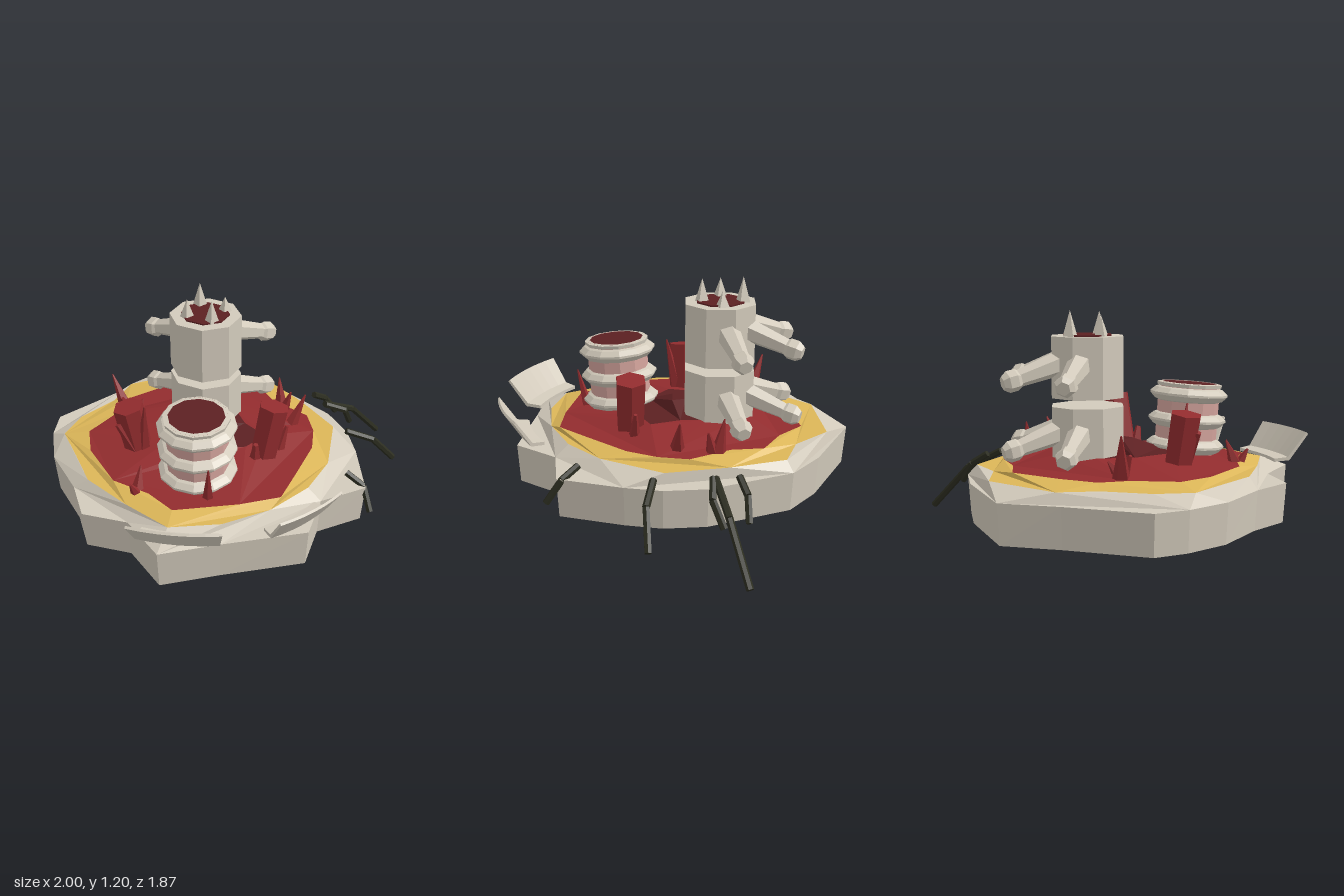
import * as THREE from 'three';

const mat = (name, color) => new THREE.MeshStandardMaterial({ name, color, flatShading: true, side: THREE.DoubleSide });
const V = (a) => new THREE.Vector3(...a);
const UP = new THREE.Vector3(0, 1, 0);

// Plan outlines of the island, as [x, z]
const RIM = [[-.49, -.945], [0, -.925], [.245, -.865], [.6, -.545], [.71, -.35], [.755, -.16], [.8, .19], [.56, .33],
  [.5, .6], [.06, .735], [-.245, .84], [-.43, .6], [-.68, .55], [-.77, .32], [-.94, .05], [-1, -.19], [-1, -.37], [-.69, -.7]];
const SAND = [[-.235, -.9], [0, -.8], [.22, -.82], [.43, -.59], [.625, -.32], [.595, .05], [.49, .29], [.3, .5], [.06, .64],
  [-.21, .69], [-.45, .52], [-.69, .32], [-.8, .1], [-.91, -.11], [-.85, -.3], [-.69, -.5], [-.62, -.7]];
const FLESH = [[-.2, -.765], [-.02, -.7], [.18, -.685], [.27, -.535], [.47, -.39], [.51, -.23], [.505, -.055], [.42, .21], [.35, .42],
  [.14, .5], [-.2, .58], [-.34, .45], [-.545, .35], [-.72, .08], [-.765, -.11], [-.64, -.32], [-.61, -.48], [-.45, -.61]];
const MOUND = [[-.36, -.16], [-.32, .07], [-.13, .11], [.14, .05], [.24, -.07], [.12, -.19], [.06, -.32], [-.1, -.5], [-.3, -.35]];
const CREST = [[-.15, -.13], [-.1, -.05], [0, -.09], [-.05, -.15]];

export function createModel() {
  const bone = mat('bone', 0xd2cabb), yellow = mat('sand yellow', 0xdcb658), red = mat('flesh red', 0x922c2e);
  const dark = mat('dark red', 0x5c2022), pink = mat('pink', 0xd3a39c), black = mat('black', 0x2c2d20);
  const model = new THREE.Group();
  const add = (name, geo, material, parent = model) => {
    const m = new THREE.Mesh(geo, material);
    m.name = name;
    parent.add(m);
    return m;
  };
  // Tapered bar between two points
  const bar = (name, a, b, r0, r1, sides, material, parent) => {
    const d = V(b).sub(V(a));
    const m = add(name, new THREE.CylinderGeometry(r1, r0, d.length(), sides), material, parent);
    m.position.copy(V(a)).addScaledVector(d, .5);
    m.quaternion.setFromUnitVectors(UP, d.normalize());
    return m;
  };
  // Sloping band between two outlines at different heights
  const band = (name, outer, yOuter, inner, yInner, material) => {
    const pts = (o) => o.map(([x, z]) => new THREE.Vector2(x, -z));
    const shape = new THREE.Shape(pts(outer));
    if (inner) shape.holes.push(new THREE.Path(pts(inner)));
    const geo = new THREE.ShapeGeometry(shape).rotateX(-Math.PI / 2);
    const p = geo.attributes.position;
    for (let i = 0; i < p.count; i++) p.setY(i, i < outer.length ? yOuter : yInner);
    geo.computeVertexNormals();
    add(name, geo, material);
  };
  // Surface through rows of points
  const loft = (rows, close) => {
    const n = rows[0].length, idx = [];
    for (let r = 0; r + 1 < rows.length; r++) {
      for (let i = 0; i < (close ? n : n - 1); i++) {
        const a = r * n + i, b = r * n + (i + 1) % n;
        idx.push(a, a + n, b, b, a + n, b + n);
      }
    }
    const geo = new THREE.BufferGeometry();
    geo.setAttribute('position', new THREE.Float32BufferAttribute(rows.flat(2), 3));
    geo.setIndex(idx);
    geo.computeVertexNormals();
    return geo;
  };

  // Hollow island
  add('islandWall', loft([RIM.map(([x, z]) => [x * .98, .115, z * .985]), RIM.map(([x, z]) => [x, .325, z])], true), bone);
  band('islandRim', RIM, .325, SAND, .38, bone);
  band('sandRing', SAND, .38, FLESH, .405, yellow);
  band('fleshGround', FLESH, .405, MOUND, .46, red);
  band('moundSlope', MOUND, .46, CREST, .52, dark);
  band('moundCrest', CREST, .52, null, 0, dark);

  // Rear tower: two separate octagonal drums with arms
  const tower = new THREE.Group();
  tower.name = 'tower';
  tower.position.set(-.113, 0, -.317);
  model.add(tower);
  const knob = [[0, -.055], [.038, -.05], [.057, -.02], [.057, .025], [.036, .055], [0, .055]].map((p) => new THREE.Vector2(...p));
  for (const [name, y0, y1, armY] of [['lower', .34, .712, .5], ['upper', .757, 1.075, .857]]) {
    const h = y1 - y0;
    add(name + 'Drum', new THREE.CylinderGeometry(.2, .2, h, 8), bone, tower).position.y = y0 + h / 2;
    for (const [dx, dz] of [[0, -.41], [-.32, -.247], [.32, -.247]]) {
      const tip = [dx, armY, dz];
      bar(name + 'Arm', [dx * .3, armY + .09, dz * .3], tip, .068, .042, 6, bone, tower);
      const k = add(name + 'ArmKnob', new THREE.LatheGeometry(knob, 6), bone, tower);
      k.position.set(...tip);
      k.quaternion.setFromUnitVectors(UP, V([dx, -.09, dz]).normalize());
    }
  }
  add('towerMouth', new THREE.CylinderGeometry(.135, .135, .009, 8), dark, tower).position.y = 1.078;
  for (const [x, z, top] of [[-.155, -.43, 1.21], [-.01, -.37, 1.16], [-.21, -.28, 1.18], [-.07, -.23, 1.2]]) {
    const h = top - 1.06;
    add('tooth', new THREE.ConeGeometry(.045, h, 4), bone).position.set(x, 1.06 + h / 2, z);
  }

  // Front ringed tube, tilted a little forward
  const tube = new THREE.Group();
  tube.name = 'ringedTube';
  tube.position.set(-.1, .8, .297);
  tube.rotation.x = .08;
  model.add(tube);
  add('tubeBody', new THREE.CylinderGeometry(.168, .168, .52, 12, 1, true), pink, tube).position.y = -.26;
  for (const y of [-.015, -.53]) {
    add('tubeMouth', new THREE.CircleGeometry(.165, 12).rotateX(-Math.PI / 2), dark, tube).position.y = y + .012;
  }
  const ring = [[.16, -.042], [.185, -.034], [.212, -.006], [.212, .006], [.185, .03], [.16, .04]].map((p) => new THREE.Vector2(...p));
  for (let i = 0; i < 4; i++) add('tubeRing', new THREE.LatheGeometry(ring, 12), bone, tube).position.y = -.06 - i * .14;
  const lip = [[.15, -.005], [.175, -.02], [.178, -.002], [.15, .002]].map((p) => new THREE.Vector2(...p));
  add('tubeLip', new THREE.LatheGeometry(lip, 12), bone, tube);

  // Curved, upturned plates on the front edge
  const profile = [[0, .365], [.09, .372], [.2, .515], [.19, .525], [.08, .39], [0, .383], [0, .365]];
  for (const [x, z, turn, s] of [[-.145, .73, -.04, 1], [.41, .55, .77, .88]]) {
    const rows = [];
    for (let i = 0; i <= 6; i++) {
      const a = (i / 6 - .5) * .44;
      rows.push(profile.map(([r, y]) => [Math.sin(a) * (.89 + r), y, Math.cos(a) * (.89 + r) - .89]));
    }
    const plate = new THREE.Group();
    plate.name = 'edgePlate';
    plate.position.set(x, 0, z);
    plate.rotation.y = turn;
    plate.scale.set(s, 1, s * .95);
    model.add(plate);
    add('plateShell', loft(rows, false), bone, plate);
    // end caps
    for (const row of [rows[0], rows[6]]) add('plateEnd', loft([row.slice(0, 3), [row[5], row[4], row[3]]], false), bone, plate);
  }

  // Crystal blocks and spikes: base, tip, base radius, tip radius
  const crystals = [
    [[-.44, .32, .03], [-.5, .69, .06], .075, .085], [[.22, .32, .06], [.29, .71, .02], .075, .085],
    [[-.41, .34, .07], [-.55, .6, .1], .05, .02], [[.19, .34, .1], [.2, .53, .13], .05, .015],
    [[.3, .34, .0], [.36, .55, -.04], .045, .01], [[-.43, .36, .05], [-.4, .73, .12], .05, .005],
    [[-.56, .36, -.33], [-.665, .63, -.38], .055, .004], [[-.53, .36, -.33], [-.6, .52, -.3], .05, .01],
    [[-.55, .38, -.31], [-.49, .48, -.37], .05, .006], [[.32, .36, -.48], [.3, .58, -.51], .05, .004],
    [[.32, .36, -.46], [.37, .52, -.45], .045, .006], [[.36, .36, -.27], [.455, .58, -.33], .05, .004],
    [[.37, .38, -.27], [.31, .47, -.25], .045, .006], [[-.41, .36, .42], [-.39, .52, .36], .045, .004],
    [[-.4, .36, .42], [-.43, .47, .47], .04, .006], [[-.03, .36, .44], [-.02, .61, .505], .035, .004],
  ];
  for (const [a, b, r0, r1] of crystals) bar('crystal', a, b, r0, r1, r1 > .05 ? 6 : 5, red);

  // Bent rods hanging off the edge
  const rods = [
    [[.7, .37, -.295], [.86, .3, -.33], [.99, .135, -.4]], [[.695, .37, .12], [.79, .32, .165], [.83, .2, .235]],
    [[.575, .38, -.57], [.75, .27, -.71], [.92, .02, -.88]], [[.51, .38, -.67], [.58, .32, -.74], [.65, .21, -.775]],
    [[.58, .38, -.56], [.7, .32, -.605], [.735, .2, -.68]],
  ];
  for (const [a, b, c] of rods) {
    bar('rodUpper', a, b, .019, .019, 6, black);
    bar('rodLower', b, c, .019, .019, 6, black);
  }
  return model;
}
